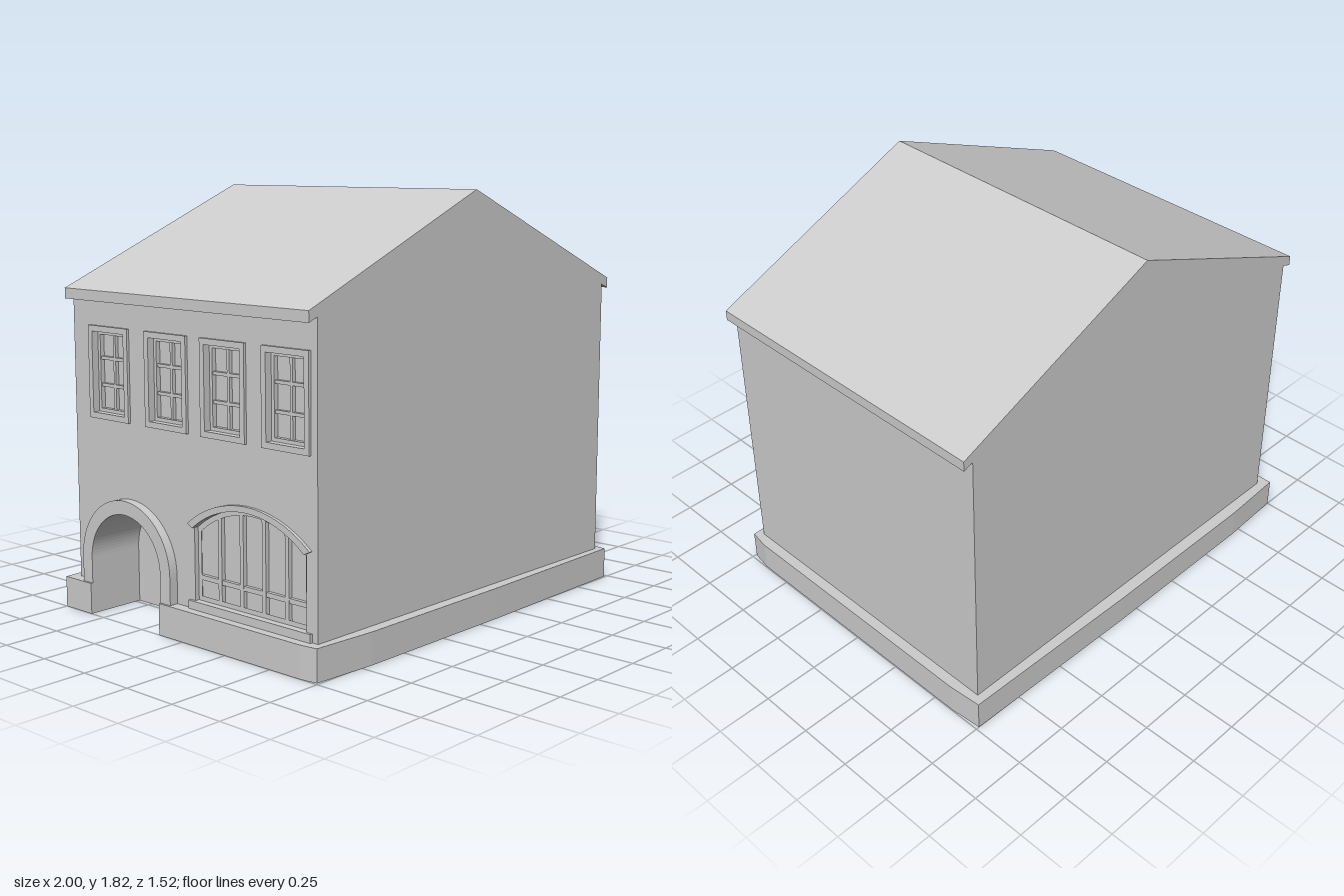
import * as THREE from 'three';

const material = new THREE.MeshStandardMaterial({ color: 0xcccccc, flatShading: true });
const WALL = -0.95, GLASS = -0.91, BACK = -0.73; // facade planes along x
const HALF = 0.71, BASE = 0.135, EAVE = 1.375;
const DOOR = { z: -0.36, r: 0.22, spring: 0.25 };
const BAY = { z: 0.34, half: 0.31, sill: 0.17, spring: 0.475, rise: 0.11 };
const WINDOWS = [-0.478, -0.122, 0.21, 0.552];
const WIN = { half: 0.1, y0: 0.88, y1: 1.225 };

function add(group, name, geometry) {
  const mesh = new THREE.Mesh(geometry, material);
  mesh.name = name;
  group.add(mesh);
  return mesh;
}

function polygon(points) {
  return new THREE.Shape(points.map(([x, y]) => new THREE.Vector2(x, y)));
}

// Extrudes a (z, y) shape from x = back out to x = front, facing -x
function slab(shape, back, front) {
  return new THREE.ExtrudeGeometry(shape, { depth: back - front, bevelEnabled: false, curveSegments: 24 })
    .rotateY(-Math.PI / 2).translate(back, 0, 0);
}

function box(x0, x1, y0, y1, z0, z1) {
  return new THREE.BoxGeometry(Math.abs(x1 - x0), y1 - y0, z1 - z0)
    .translate((x0 + x1) / 2, (y0 + y1) / 2, (z0 + z1) / 2);
}

// Height of a segmental arch at offset d from its middle
function archY(d, half, spring, rise) {
  const R = (half * half + rise * rise) / (2 * rise);
  return spring + rise - R + Math.sqrt(R * R - d * d);
}

function archPoints(z, half, spring, rise, n = 16) {
  return Array.from({ length: n + 1 }, (_, i) => {
    const d = half * (2 * i / n - 1);
    return [z + d, archY(d, half, spring, rise)];
  });
}

function rect(z0, z1, y0, y1) {
  return [[z0, y0], [z1, y0], [z1, y1], [z0, y1]];
}

// Wall layer with the arched doorway cut in from below
function doorWall() {
  const { z, r, spring } = DOOR;
  const s = new THREE.Shape();
  s.moveTo(-HALF, BASE - 0.01);
  s.lineTo(z - r, BASE - 0.01);
  s.lineTo(z - r, spring);
  s.absarc(z, spring, r, Math.PI, 0, true);
  s.lineTo(z + r, BASE - 0.01);
  s.lineTo(HALF, BASE - 0.01);
  s.lineTo(HALF, EAVE);
  s.lineTo(-HALF, EAVE);
  s.closePath();
  return s;
}

function bayOutline() {
  const { z, half, sill, spring, rise } = BAY;
  return [[z + half, sill], [z - half, sill], ...archPoints(z, half, spring, rise)];
}

function createWindow(z) {
  const g = new THREE.Group();
  g.name = 'upperWindow';
  const { half, y0, y1 } = WIN;
  // raised surround
  const ring = polygon(rect(z - half - 0.025, z + half + 0.025, y0 - 0.025, y1 + 0.025));
  ring.holes.push(polygon(rect(z - half, z + half, y0, y1)));
  add(g, 'windowSurround', slab(ring, WALL + 0.005, WALL - 0.012));
  // sash and glazing bars
  const sash = polygon(rect(z - half, z + half, y0, y1));
  sash.holes.push(polygon(rect(z - half + 0.015, z + half - 0.015, y0 + 0.015, y1 - 0.015)));
  add(g, 'windowSash', slab(sash, GLASS, GLASS - 0.02));
  add(g, 'verticalBar', box(GLASS, GLASS - 0.015, y0, y1, z - 0.007, z + 0.007));
  for (const t of [1 / 3, 2 / 3]) {
    const y = y0 + (y1 - y0) * t;
    add(g, 'horizontalBar', box(GLASS, GLASS - 0.015, y - 0.007, y + 0.007, z - half, z + half));
  }
  return g;
}

function createBayWindow() {
  const g = new THREE.Group();
  g.name = 'archedWindow';
  const { z, half, sill, spring, rise } = BAY;
  // hood moulding over the arch
  const outer = archPoints(z, half + 0.03, spring + 0.015, rise + 0.01);
  const inner = archPoints(z, half, spring, rise).reverse();
  add(g, 'archHood', slab(polygon([...outer, ...inner]), WALL + 0.005, WALL - 0.014));
  add(g, 'windowSill', box(GLASS, WALL - 0.012, BASE, sill, z - half - 0.03, z + half + 0.03));
  // inner frame
  const frame = polygon(bayOutline());
  const w = half - 0.02;
  frame.holes.push(polygon([[z + w, sill + 0.02], [z - w, sill + 0.02],
    ...archPoints(z, w, spring - 0.015, rise - 0.005)]));
  add(g, 'windowFrame', slab(frame, GLASS, GLASS - 0.02));
  // mullions and transom
  for (let i = 1; i < 5; i++) {
    const d = half * (2 * i / 5 - 1);
    add(g, 'mullion', box(GLASS, GLASS - 0.018, sill, archY(d, half, spring, rise) - 0.01, z + d - 0.01, z + d + 0.01));
  }
  add(g, 'transom', box(GLASS, GLASS - 0.016, 0.255, 0.275, z - half, z + half));
  return g;
}

function createDoorSurround() {
  const { z, r, spring } = DOOR, R = r + 0.06;
  const s = new THREE.Shape();
  s.moveTo(z - R, BASE - 0.005);
  s.lineTo(z - R, spring);
  s.absarc(z, spring, R, Math.PI, 0, true);
  s.lineTo(z + R, BASE - 0.005);
  s.lineTo(z + r, BASE - 0.005);
  s.lineTo(z + r, spring);
  s.absarc(z, spring, r, 0, Math.PI, false);
  s.lineTo(z - r, BASE - 0.005);
  s.closePath();
  return slab(s, WALL + 0.005, -0.99);
}

export function createModel() {
  const model = new THREE.Group();
  model.name = 'house';

  // Slightly bowed plinth, notched at the doorway; points are (x, z)
  const d0 = DOOR.z - DOOR.r, d1 = DOOR.z + DOOR.r;
  const outline = [
    [-0.99, 0.74], [-0.7, 0.76], [0.1, 0.76], [0.982, 0.743], [0.997, 0.65], [0.997, -0.6], [0.985, -0.75],
    [0.1, -0.765], [-0.7, -0.765], [-1, -0.75],
    [-1, d0], [BACK, d0], [BACK, d1], [-1, d1], [-1, 0.66],
  ];
  add(model, 'plinth', new THREE.ExtrudeGeometry(polygon(outline.map(([x, z]) => [x, -z])),
    { depth: BASE, bevelEnabled: false }).rotateX(-Math.PI / 2));

  // Main block behind the facade
  add(model, 'walls', box(BACK, 0.95, BASE - 0.01, EAVE, -HALF, HALF));

  // Solid gabled roof, flush with the end walls
  const gable = polygon([[-0.995, 1.357], [-0.95, EAVE], [0.95, EAVE], [0.995, 1.357],
    [0.995, 1.402], [0, 1.82], [-0.995, 1.402]]);
  add(model, 'roof', new THREE.ExtrudeGeometry(gable, { depth: 2 * HALF, bevelEnabled: false }).translate(0, 0, -HALF));

  // Facade: an inner layer with the doorway, an outer one with the window openings too
  add(model, 'facadeBacking', slab(doorWall(), BACK, GLASS));
  const front = doorWall();
  front.holes.push(polygon(bayOutline()));
  for (const z of WINDOWS) front.holes.push(polygon(rect(z - WIN.half, z + WIN.half, WIN.y0, WIN.y1)));
  add(model, 'facade', slab(front, GLASS, WALL));

  add(model, 'doorSurround', createDoorSurround());
  model.add(createBayWindow());
  for (const z of WINDOWS) model.add(createWindow(z));
  return model;
}
